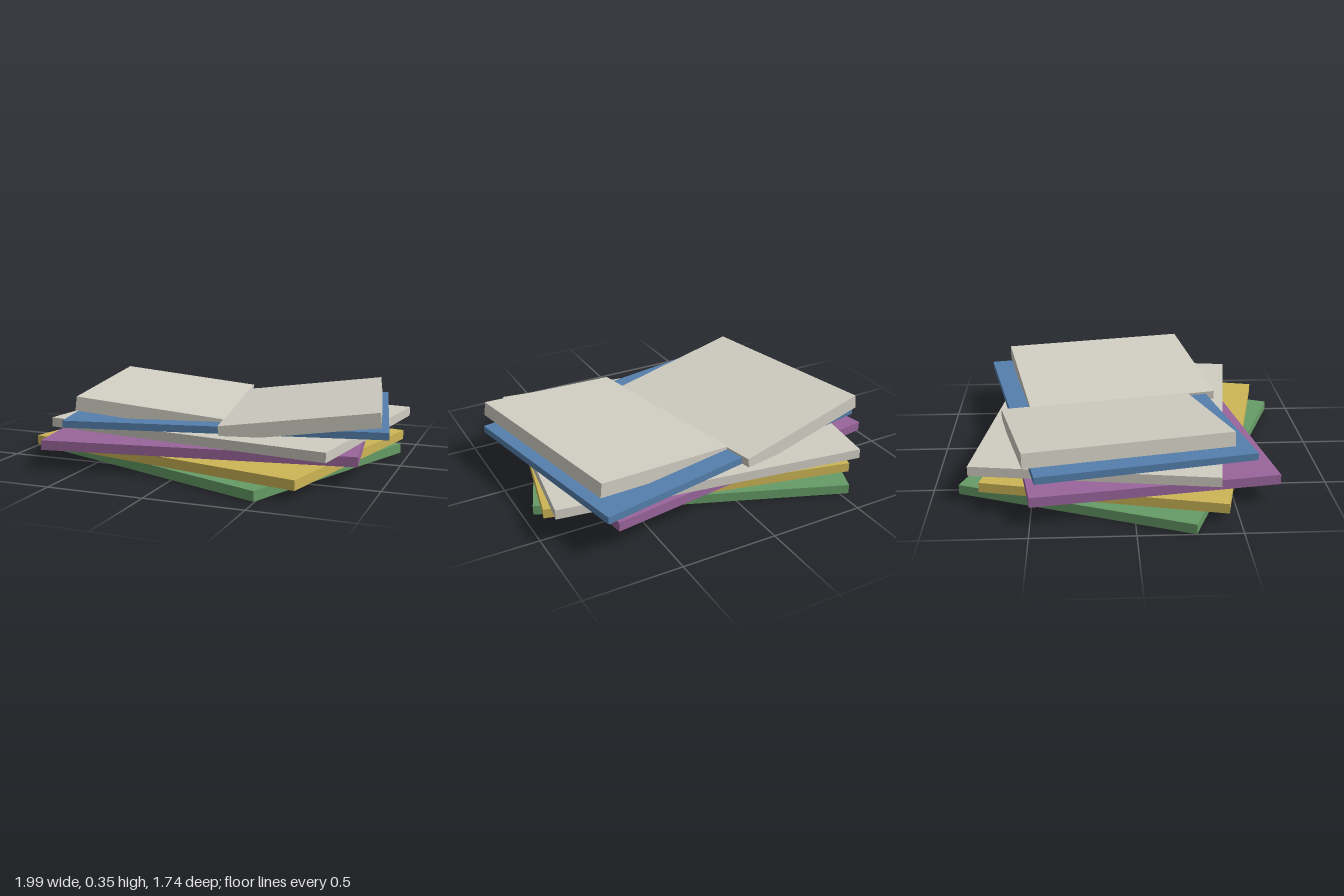
import * as THREE from 'three';

export function createModel() {
  const model = new THREE.Group();
  model.name = 'bookStack';

  const material = (name, color) => {
    const m = new THREE.MeshStandardMaterial({ color });
    m.name = name;
    return m;
  };
  const green = material('green', 0x659c66);
  const yellow = material('yellow', 0xcdb556);
  const purple = material('purple', 0x9a659c);
  const blue = material('blue', 0x557fac);
  const paper = material('paper', 0xd0cdc2);

  // A slab turned by yaw, then tilted about its own depth axis
  function slab(name, mat, [w, h, d], [x, y, z], yaw, tilt = 0) {
    const mesh = new THREE.Mesh(new THREE.BoxGeometry(w, h, d), mat);
    mesh.name = name;
    mesh.position.set(x, y, z);
    mesh.rotation.set(0, yaw, tilt, 'YXZ');
    model.add(mesh);
  }

  // Closed books, bottom to top
  const closed = [
    ['greenBook', green, -0.025, 0, -0.377],
    ['yellowBook', yellow, 0.02, 0.02, -0.225],
    ['purpleBook', purple, -0.005, -0.01, 0.152],
    ['paleBook', paper, 0.06, -0.082, -0.143],
  ];
  closed.forEach(([name, mat, x, z, yaw], i) =>
    slab(name, mat, [1.605, 0.05, 1.235], [x, 0.025 + i * 0.05, z], yaw));

  // Open book: flat cover and two page blocks rising outwards
  const cx = 0.0675, cz = -0.09, yaw = 0.197;
  slab('openBookCover', blue, [1.66, 0.037, 1.115], [cx, 0.2185, cz], yaw);
  for (const side of [-1, 1]) {
    slab(side > 0 ? 'leftPages' : 'rightPages', paper, [0.8, 0.075, 1.055],
      [cx + side * 0.4, 0.26, cz], yaw, side * 0.12);
  }
  return model;
}
